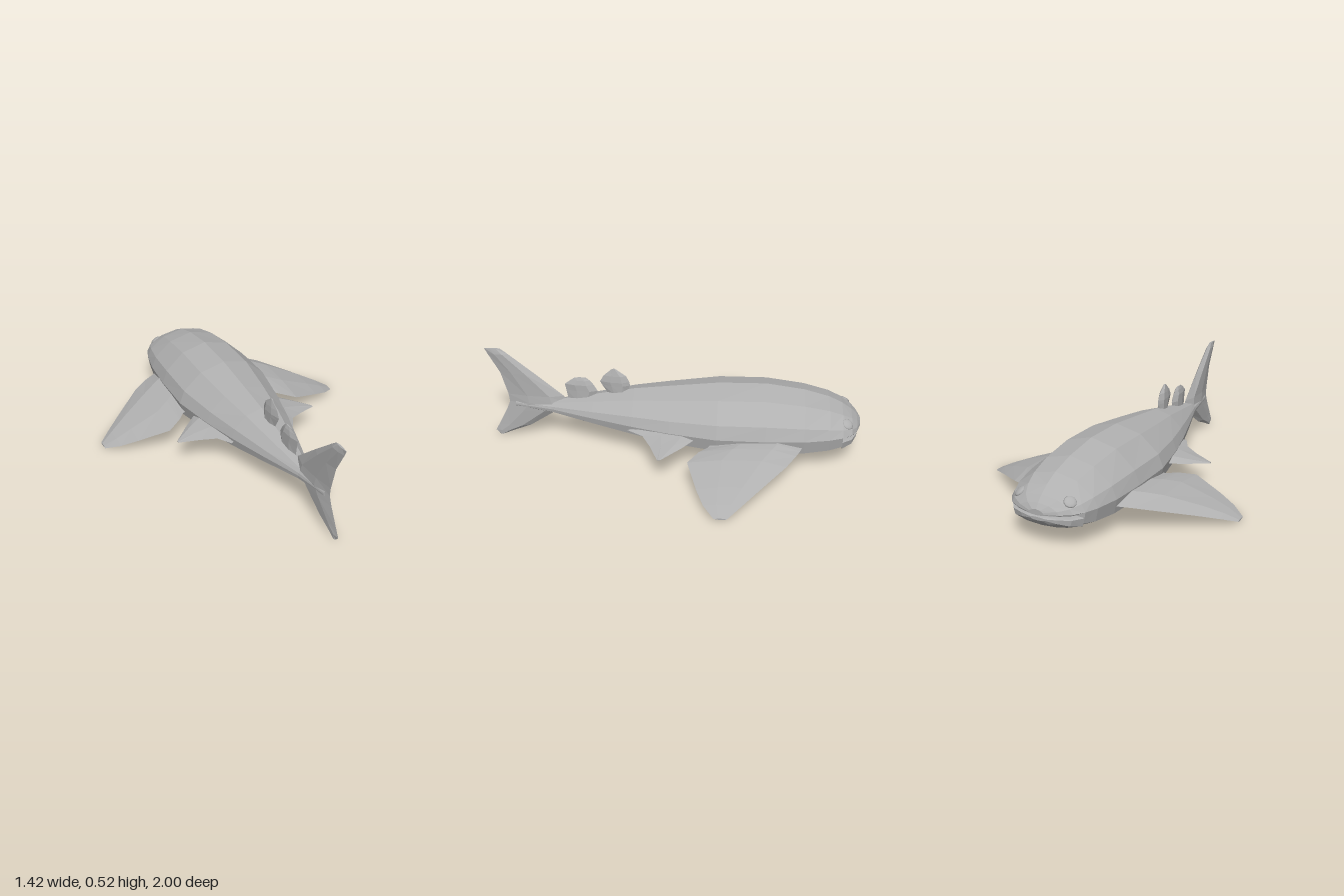
import * as THREE from 'three';

const skin = new THREE.MeshStandardMaterial({ color: 0xb0b0b0 });
skin.name = 'grey skin';

// Skin closed rings of points into a faceted solid with capped ends
function loft(name, rings) {
  const n = rings[0].length;
  const tris = [];
  for (let i = 0; i < rings.length - 1; i++) {
    for (let j = 0; j < n; j++) {
      const k = (j + 1) % n;
      const [a, b, c, d] = [rings[i][j], rings[i][k], rings[i + 1][k], rings[i + 1][j]];
      tris.push([a, b, c], [a, c, d]);
    }
  }
  const first = rings[0], last = rings[rings.length - 1];
  for (let j = 1; j < n - 1; j++) {
    tris.push([first[0], first[j + 1], first[j]], [last[0], last[j], last[j + 1]]);
  }
  // A negative volume means the faces point inward, so turn them round
  let volume = 0;
  for (const [a, b, c] of tris) volume += a.dot(b.clone().cross(c));
  if (volume < 0) tris.forEach((t) => t.reverse());

  const geometry = new THREE.BufferGeometry().setFromPoints(tris.flat());
  geometry.computeVertexNormals();
  const mesh = new THREE.Mesh(geometry, skin);
  mesh.name = name;
  return mesh;
}

// Half outline of the body: share of width, share of height from the side ridge
const PROFILE = [[0, 1], [0.52, 0.82], [0.9, 0.36], [1, 0], [0.94, -0.55], [0.52, -0.9], [0, -1]];

// Body cross-section from half width, top, ridge and bottom heights
function bodyRing([z, w, top, mid, bottom]) {
  const half = PROFILE.map(([fx, fy]) =>
    new THREE.Vector3(fx * w, mid + fy * (fy > 0 ? top - mid : mid - bottom), z));
  const other = half.slice(1, -1).reverse().map((p) => new THREE.Vector3(-p.x, p.y, p.z));
  return [...half, ...other];
}

// Fin cross-section: points as [along z, thickness]
function finRing(front, back, thickness, place) {
  const len = back - front;
  return [[0, 0], [0.25, 1], [0.65, 0.8], [1, 0], [0.65, -0.8], [0.25, -1]]
    .map(([f, t]) => place(front + f * len, t * thickness));
}

// Upright fin, sections as [y, front z, back z, half thickness]
const uprightFin = (name, sections) => loft(name, sections.map(([y, f, b, t]) =>
  finRing(f, b, t, (z, off) => new THREE.Vector3(off, y, z))));

// Side fin, sections as [x, front z, back z, y, half thickness]
const sideFin = (name, side, sections) => loft(name, sections.map(([x, f, b, y, t]) =>
  finRing(f, b, t, (z, off) => new THREE.Vector3(side * x, y + off, z))));

export function createModel() {
  const model = new THREE.Group();
  model.name = 'shark';

  // Body, from the back of the mouth to the tail root
  model.add(loft('body', [
    [-0.9, 0.2, 0.292, 0.19, 0.085],
    [-0.83, 0.225, 0.325, 0.188, 0.065],
    [-0.7, 0.25, 0.36, 0.185, 0.05],
    [-0.5, 0.265, 0.386, 0.185, 0.045],
    [-0.25, 0.268, 0.38, 0.185, 0.052],
    [0, 0.222, 0.35, 0.185, 0.07],
    [0.2, 0.172, 0.325, 0.187, 0.098],
    [0.42, 0.108, 0.28, 0.19, 0.13],
    [0.65, 0.038, 0.232, 0.195, 0.165],
    [0.85, 0.012, 0.225, 0.205, 0.19],
  ].map(bodyRing)));

  // Jaws, with a narrow mouth gap between them
  model.add(loft('upperJaw', [
    [-0.9, 0.2, 0.292, 0.19, 0.18],
    [-0.95, 0.165, 0.258, 0.19, 0.176],
    [-0.98, 0.11, 0.23, 0.187, 0.176],
    [-1, 0.04, 0.205, 0.185, 0.176],
  ].map(bodyRing)));
  model.add(loft('lowerJaw', [
    [-0.9, 0.195, 0.168, 0.16, 0.085],
    [-0.95, 0.158, 0.166, 0.16, 0.105],
    [-0.975, 0.1, 0.165, 0.16, 0.125],
    [-0.99, 0.04, 0.162, 0.158, 0.145],
  ].map(bodyRing)));

  // Tail fin with a long upper and a shorter lower lobe
  model.add(uprightFin('tailFin', [
    [0.005, 0.935, 0.955, 0.005],
    [0.03, 0.88, 0.977, 0.008],
    [0.07, 0.78, 0.955, 0.012],
    [0.165, 0.635, 0.905, 0.022],
    [0.215, 0.57, 0.885, 0.026],
    [0.26, 0.585, 0.89, 0.022],
    [0.39, 0.74, 0.925, 0.018],
    [0.5, 0.875, 0.985, 0.013],
    [0.53, 0.915, 1, 0.005],
  ]));

  // Two small back fins
  model.add(uprightFin('frontDorsalFin', [
    [0.29, 0.24, 0.345, 0.018],
    [0.34, 0.225, 0.375, 0.018],
    [0.36, 0.227, 0.385, 0.018],
    [0.395, 0.245, 0.365, 0.014],
    [0.435, 0.3, 0.32, 0.004],
  ]));
  model.add(uprightFin('rearDorsalFin', [
    [0.24, 0.42, 0.56, 0.018],
    [0.3, 0.4, 0.57, 0.018],
    [0.335, 0.42, 0.577, 0.017],
    [0.36, 0.44, 0.545, 0.011],
    [0.376, 0.46, 0.52, 0.004],
  ]));

  // Paired fins and eyes
  for (const [label, side] of [['left', 1], ['right', -1]]) {
    model.add(sideFin(label + 'PectoralFin', side, [
      [0.2, -0.71, -0.24, 0.15, 0.04],
      [0.27, -0.68, -0.21, 0.143, 0.036],
      [0.31, -0.66, -0.165, 0.138, 0.034],
      [0.39, -0.61, -0.11, 0.122, 0.03],
      [0.55, -0.47, -0.165, 0.072, 0.022],
      [0.64, -0.39, -0.205, 0.041, 0.014],
      [0.71, -0.325, -0.26, 0.015, 0.004],
    ]));
    model.add(sideFin(label + 'PelvicFin', side, [
      [0.13, -0.18, 0.18, 0.172, 0.022],
      [0.18, -0.165, 0.218, 0.17, 0.02],
      [0.225, -0.145, 0.135, 0.165, 0.018],
      [0.3, -0.08, 0.09, 0.152, 0.014],
      [0.405, 0.025, 0.042, 0.138, 0.003],
    ]));

    const eye = new THREE.Mesh(new THREE.SphereGeometry(0.032, 10, 6), skin);
    eye.name = label + 'Eye';
    eye.position.set(side * 0.135, 0.238, -0.923);
    eye.rotation.set(-0.5, 0, -side * 0.5);
    eye.scale.y = 0.35;
    model.add(eye);
  }

  return model;
}
